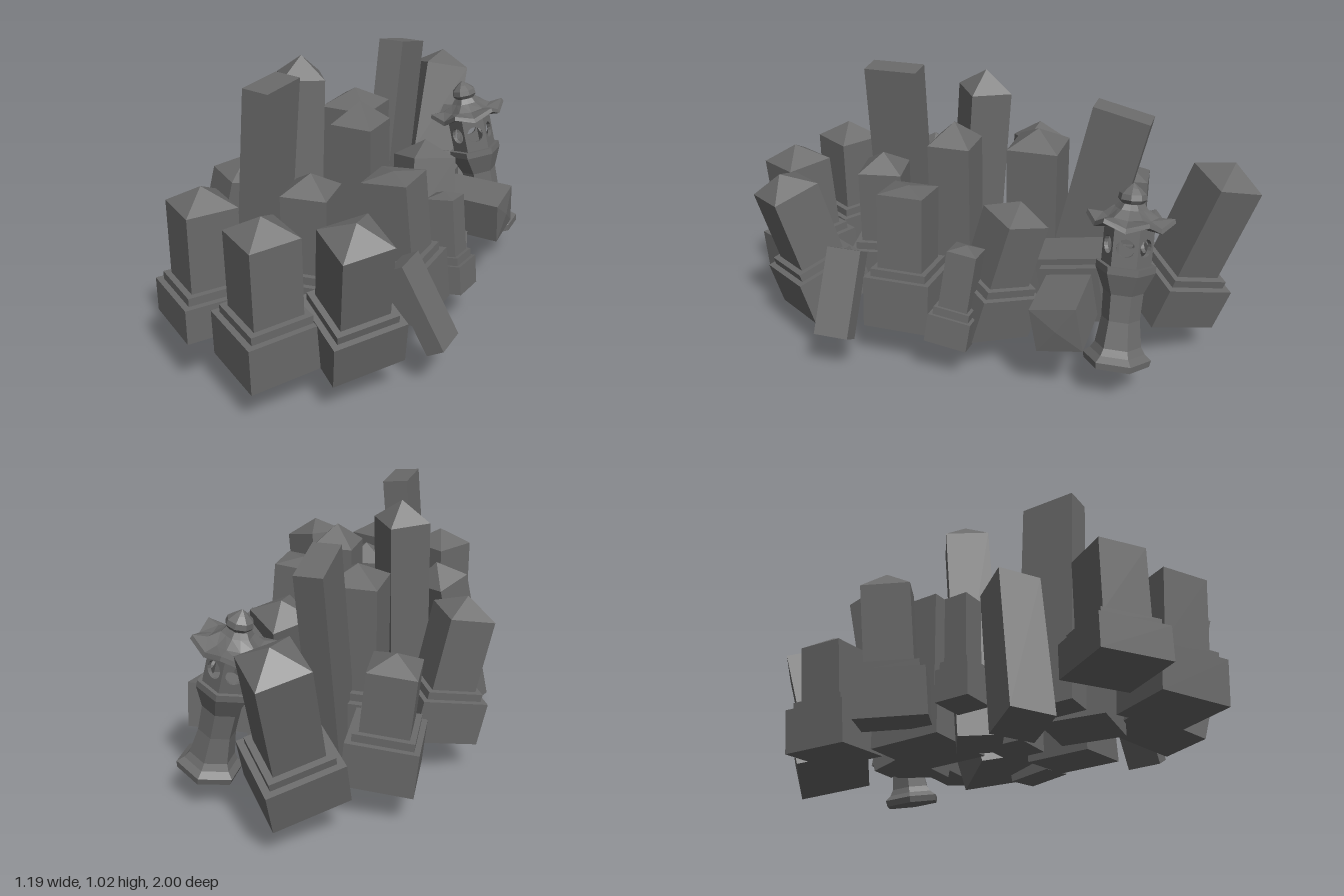
import * as THREE from 'three';

const stoneMat = new THREE.MeshStandardMaterial({ color: 0x6a6a6a, flatShading: true });
const lanternMat = new THREE.MeshStandardMaterial({ color: 0x6a6a6a, flatShading: true, side: THREE.DoubleSide });
const UP = new THREE.Vector3(0, 1, 0);

function add(group, name, geometry, y = 0, material = stoneMat) {
  const mesh = new THREE.Mesh(geometry, material);
  mesh.name = name;
  mesh.position.y = y;
  group.add(mesh);
  return mesh;
}

// Stand a group on a point, turned about its own axis and then leaned
function place(group, x, y, z, { leanX = 0, leanZ = 0, rise = 1, yaw = 0 }) {
  const turn = new THREE.Quaternion().setFromAxisAngle(UP, THREE.MathUtils.degToRad(yaw));
  const axis = new THREE.Vector3(leanX, rise, leanZ).normalize();
  group.quaternion.setFromUnitVectors(UP, axis).multiply(turn);
  group.position.set(x, y, z);
  return group;
}

// Add a rectangular block at height y and return the height of its top
function block(group, name, y, w, h, d = w) {
  add(group, name, new THREE.BoxGeometry(w, h, d), y + h / 2);
  return y + h;
}

// Square pillar with a pyramid cap
function cappedPillar(group, y, w, h, cap) {
  const top = block(group, 'pillar', y, w, h);
  const pyramid = new THREE.ConeGeometry(w * Math.SQRT1_2, cap, 4, 1, true).rotateY(Math.PI / 4);
  add(group, 'cap', pyramid, top + cap / 2);
}

function named(name) {
  const g = new THREE.Group();
  g.name = name;
  return g;
}

// Pillar on a stepped base, proportioned from the width of the base
function monument(name, x, z, o = {}) {
  const { y = 0.15, base = 0.275, baseH = 0.175, h = 0.29, cap = 0.065, w = base * 0.68 } = o;
  const g = named(name);
  const baseTop = block(g, 'base', 0, base, baseH);
  const plinthTop = block(g, 'plinth', baseTop, (base + w) / 2, 0.03);
  cappedPillar(g, plinthTop, w, h, cap);
  return place(g, x, y, z, o);
}

// Plain capped pillar without a base
function obelisk(name, x, y, z, h, o = {}) {
  const g = named(name);
  cappedPillar(g, 0, 0.163, h, 0.08);
  return place(g, x, y, z, o);
}

// Flat-topped plank of stone
function slab(name, x, y, z, w, h, d, o) {
  const g = named(name);
  block(g, 'plank', 0, w, h, d);
  return place(g, x, y, z, o);
}

const lathe = (pts, sides) => new THREE.LatheGeometry(pts.map(p => new THREE.Vector2(...p)), sides);

// Six-sided lantern with round windows and a roof with raised corners
function lantern() {
  const g = named('lantern');
  add(g, 'lanternPost', lathe([[0, 0], [0.12, 0], [0.125, 0.025], [0.1, 0.045], [0.085, 0.07], [0.07, 0.17],
    [0.073, 0.27], [0.108, 0.35], [0.108, 0.375], [0, 0.375]], 6), 0, lanternMat);

  // Window panels around the light chamber
  const R = 0.09, H = 0.14;
  const panel = new THREE.Shape();
  panel.moveTo(-R / 2, 0).lineTo(R / 2, 0).lineTo(R / 2, H).lineTo(-R / 2, H).closePath();
  panel.holes.push(new THREE.Path().absarc(0, H / 2, 0.033, 0, Math.PI * 2, true));
  const panelGeo = new THREE.ExtrudeGeometry(panel, { depth: 0.015, bevelEnabled: false, curveSegments: 8 });
  panelGeo.translate(0, 0, R * Math.cos(Math.PI / 6) - 0.015);
  for (let i = 0; i < 6; i++) {
    add(g, 'windowPanel', panelGeo, 0.375, lanternMat).rotation.y = Math.PI / 6 + i * Math.PI / 3;
  }

  // Roof: every other point is a corner, lifted towards the eaves
  const roof = lathe([[0, 0], [0.16, 0], [0.155, 0.018], [0.1, 0.035], [0.06, 0.065], [0.045, 0.085], [0, 0.085]], 12);
  const p = roof.attributes.position;
  for (let i = 0; i < p.count; i++) {
    const x = p.getX(i), z = p.getZ(i), r = Math.hypot(x, z);
    const step = Math.round(Math.atan2(x, z) / (Math.PI / 6));
    if (step % 2 === 0) p.setY(i, p.getY(i) + 0.03 * (r / 0.16) ** 3);
    else p.setXYZ(i, x * 0.866, p.getY(i), z * 0.866);
  }
  add(g, 'lanternRoof', roof, 0.51, lanternMat);
  add(g, 'roofFinial', lathe([[0.035, 0], [0.052, 0.02], [0.048, 0.04], [0.025, 0.06], [0, 0.078]], 8), 0.59, lanternMat);
  return place(g, 0.365, 0.13, -0.57, { leanX: -0.25, yaw: 3 });
}

export function createModel() {
  const model = named('stoneCluster');

  // Back of the cluster
  model.add(
    monument('leaningBackStone', -0.018, -0.685, { y: 0.182, leanZ: -0.345, yaw: 40, base: 0.29, w: 0.19, h: 0.385, cap: 0.07 }),
    monument('backRightStone', -0.265, -0.46, { leanX: -0.1, yaw: 6, base: 0.265, h: 0.23, cap: 0.05 }),
    slab('backSlab', -0.038, 0.15, -0.297, 0.105, 0.82, 0.22, { leanZ: -0.23 }),
    monument('fallenStone', 0.035, -0.37, { y: 0.315, leanX: 1, rise: -0.03, yaw: 10, base: 0.27, h: 0.25, cap: 0.01, w: 0.172 }),
    lantern(),
  );

  // Middle of the cluster
  model.add(
    monument('leaningSideStone', -0.375, -0.08, { y: 0.16, leanX: -0.2, leanZ: 0.06, yaw: 33, base: 0.265 }),
    monument('centerStone', -0.085, -0.145, { base: 0.31, w: 0.2, h: 0.41 }),
    monument('leaningMiddleStone', 0.265, -0.025, { leanX: -0.1, leanZ: -0.27, yaw: 50, base: 0.265, h: 0.255 }),
    obelisk('tallPillar', -0.19, 0.085, 0.165, 0.85, { leanZ: -0.07, yaw: 37 }),
    obelisk('middlePillar', 0.08, 0.15, 0.14, 0.655),
    monument('smallLeftPost', 0.418, 0.047, { leanX: -0.14, leanZ: -0.13, base: 0.165, baseH: 0.11, h: 0.22, cap: 0.02 }),
    monument('smallRightPost', -0.395, 0.235, { base: 0.135, baseH: 0.12, h: 0.25, cap: 0.02 }),
    monument('leftStone', 0.325, 0.26, { leanX: -0.1, base: 0.26, baseH: 0.2, cap: 0.02 }),
  );

  // Front of the cluster
  model.add(
    slab('tallSlab', -0.175, 0.15, 0.455, 0.1, 0.87, 0.215, { leanX: 0.085 }),
    obelisk('leaningPillar', -0.395, 0.024, 0.47, 0.6, { leanX: 0.17, leanZ: -0.17, yaw: -32 }),
    monument('frontMiddleStone', 0.045, 0.455, { yaw: 10, base: 0.25 }),
    monument('frontRightStone', -0.225, 0.73, { y: 0.21, yaw: -32, baseH: 0.13, h: 0.28 }),
    monument('frontCenterStone', 0.06, 0.795, { leanX: 0.025, leanZ: 0.06, yaw: -30 }),
    monument('frontLeftStone', 0.285, 0.62, { y: 0.17, leanX: 0.155, leanZ: 0.22, yaw: -35 }),
    slab('leaningSlab', 0.563, 0.165, 0.462, 0.07, 0.33, 0.135, { leanX: -0.56 }),
  );
  return model;
}
